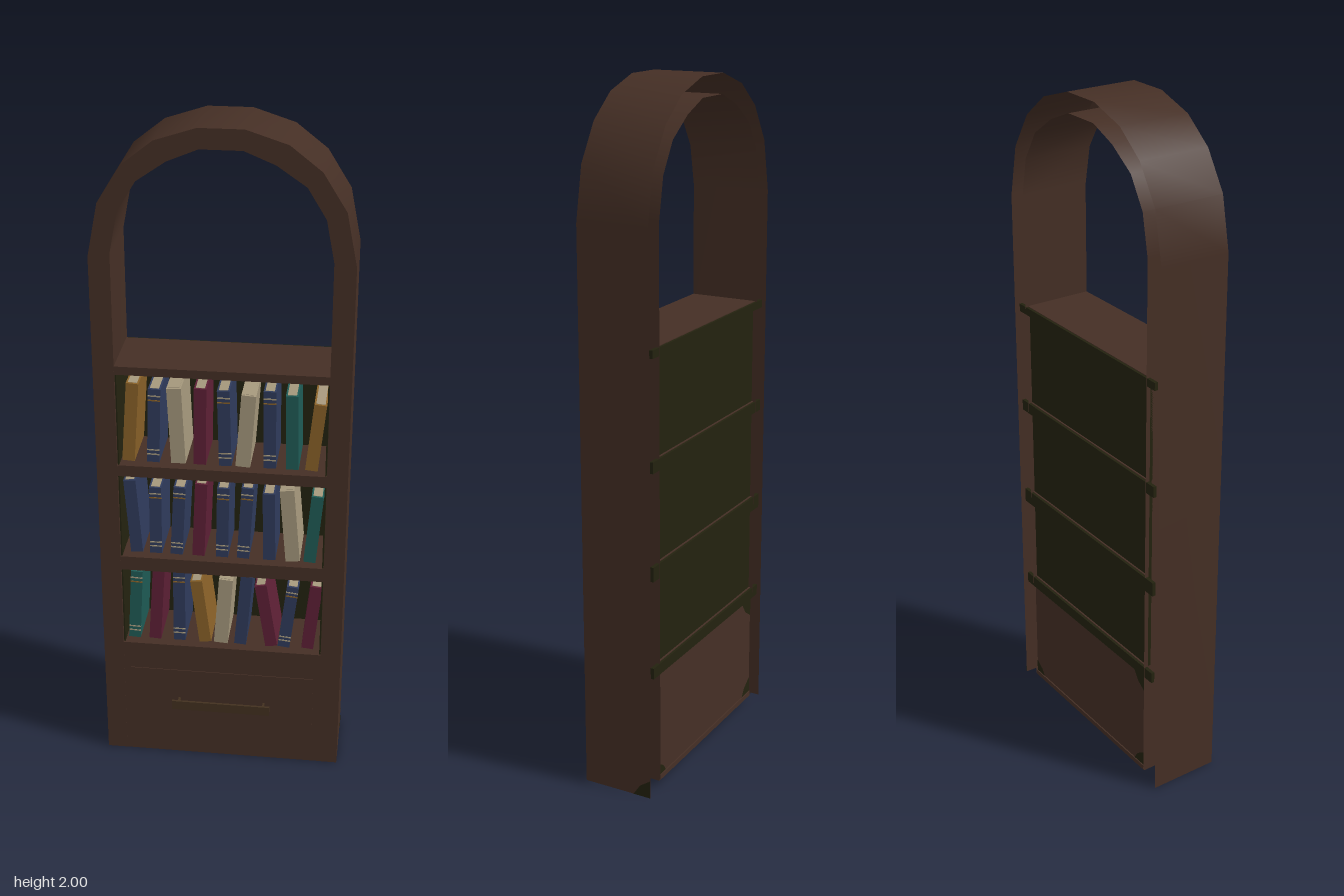
import * as THREE from 'three';

const mat = (name, hex, double) => {
  const m = new THREE.MeshStandardMaterial({ color: hex });
  m.name = name;
  if (double) m.side = THREE.DoubleSide;
  return m;
};

export function createModel() {
  const wood = mat('dark wood', 0x452f25, true);
  const olive = mat('dark olive', 0x23220f, true);
  const bronze = mat('bronze', 0x43311f);
  const blue = mat('blue cloth', 0x2f3b5c);
  const wine = mat('wine cloth', 0x5e2036);
  const teal = mat('teal cloth', 0x1f5c56);
  const gold = mat('gold cloth', 0x8a6228);
  const cream = mat('cream', 0xa5987c);

  const group = new THREE.Group();
  group.name = 'archedBookcase';
  const BACK = -0.123, FRONT = 0.09;

  const add = (name, geometry, material, parent = group) => {
    const mesh = new THREE.Mesh(geometry, material);
    mesh.name = name;
    parent.add(mesh);
    return mesh;
  };
  // Box given by its limits on each axis
  const box = (name, material, x0, x1, y0, y1, z0, z1, parent) => {
    const m = add(name, new THREE.BoxGeometry(x1 - x0, y1 - y0, z1 - z0), material, parent);
    m.position.set((x0 + x1) / 2, (y0 + y1) / 2, (z0 + z1) / 2);
    return m;
  };

  // Arched frame: front ring with an outer and an inner shell, hollow at the back
  const mirror = (half) => [...half, ...half.slice().reverse().map(([x, y]) => [-x, y])];
  const outer = mirror([[0.36, 0], [0.36, 1.64], [0.33, 1.79], [0.264, 1.895], [0.177, 1.963], [0.062, 2]]);
  const inner = mirror([[0.3, 0], [0.3, 1.65], [0.277, 1.768], [0.225, 1.853], [0.143, 1.909], [0.058, 1.944]]);
  const shell = (points, bottom, flip) => {
    const pos = [], index = [];
    points.forEach(([x, y], i) => {
      const h = Math.max(y, bottom);
      pos.push(x, h, FRONT, x, h, BACK);
      if (!i) return;
      const a = 2 * i - 2, b = a + 1, c = a + 2, d = a + 3;
      index.push(...(flip ? [a, c, b, b, c, d] : [a, b, c, b, d, c]));
    });
    const g = new THREE.BufferGeometry();
    g.setAttribute('position', new THREE.Float32BufferAttribute(pos, 3));
    g.setIndex(index);
    g.computeVertexNormals();
    return g;
  };
  const ring = new THREE.Shape([...outer, ...inner.slice().reverse()].map(([x, y]) => new THREE.Vector2(x, y)));
  add('frameFront', new THREE.ShapeGeometry(ring), wood).position.z = FRONT;
  add('frameOuterShell', shell(outer, 0, false), wood);
  add('frameInnerShell', shell(inner, 0.03, true), wood);

  // Shelves with dark back edges reaching into the hollow posts
  const shelves = [[0.365, 0.4], [0.66, 0.705], [0.975, 1.01], [1.295, 1.32]];
  for (const [y0, y1] of shelves) {
    box('shelf', wood, -0.3, 0.3, y0, y1, -0.115, FRONT - 0.0005);
    box('shelfBackEdge', olive, -0.335, 0.335, y0, y1 - 0.002, -0.122, -0.112);
  }
  box('shelfBackPanel', olive, -0.3, 0.3, 0.4, 1.295, -0.11, -0.1);
  for (const s of [-1, 1]) {
    const x = s * 0.297;
    box('shelfLining', olive, x - 0.002, x + 0.002, 0.4, 1.295, -0.1, FRONT - 0.004);
  }

  // Base cupboard
  box('basePanel', wood, -0.3, 0.3, 0, 0.385, 0.08, FRONT - 0.0005);
  box('baseBackPanel', wood, -0.3, 0.3, 0.03, 0.37, -0.116, -0.108);
  box('baseFloor', wood, -0.3, 0.3, 0.025, 0.04, -0.12, 0.08);
  box('drawerFront', wood, -0.28, 0.28, 0.09, 0.31, FRONT - 0.001, 0.092);

  // Drawer handle
  box('handleBar', bronze, -0.15, 0.15, 0.185, 0.215, 0.115, 0.122);
  for (const s of [-1, 1])
    box('handlePost', bronze, s * 0.13 - 0.003, s * 0.13 + 0.003, 0.19, 0.21, 0.09, 0.116);

  // Dark worn corners at the back and on one side
  const corner = (x, y, sx, sy, size) => {
    const shape = new THREE.Shape([[0, 0], [sx * size, 0], [sx * size * 0.6, sy * size * 0.6], [0, sy * size]]
      .map(([a, b]) => new THREE.Vector2(a, b)));
    const m = add('wornCorner', new THREE.ShapeGeometry(shape), olive);
    m.position.set(x, y, -0.117);
    return m;
  };
  corner(0.3, 0.03, -1, 1, 0.05);
  corner(-0.3, 0.03, 1, 1, 0.06);
  corner(-0.3, 0.365, 1, -1, 0.06);
  const sidePatch = corner(0, 0, 1, 1, 0.055);
  sidePatch.rotation.y = -Math.PI / 2;
  sidePatch.position.set(0.361, 0, BACK);

  // Books: [cover, x at the bottom, x at the top, height, banded]
  const rows = [
    [1.01, [
      [gold, -0.272, -0.255, 0.245], [blue, -0.2, -0.193, 0.23, 1], [cream, -0.127, -0.138, 0.235],
      [wine, -0.066, -0.063, 0.238], [blue, 0.008, 0.002, 0.235, 1], [cream, 0.058, 0.074, 0.225],
      [blue, 0.135, 0.133, 0.24, 1], [teal, 0.2, 0.195, 0.23], [gold, 0.254, 0.275, 0.208]]],
    [0.705, [
      [blue, -0.255, -0.272, 0.24], [blue, -0.198, -0.197, 0.22, 1], [blue, -0.137, -0.125, 0.225, 1],
      [wine, -0.072, -0.062, 0.24], [blue, -0.002, 0.002, 0.23, 1], [blue, 0.06, 0.073, 0.235, 1],
      [blue, 0.138, 0.134, 0.22], [cream, 0.207, 0.186, 0.235], [teal, 0.256, 0.275, 0.22]]],
    [0.4, [
      [teal, -0.27, -0.258, 0.235, 1], [wine, -0.207, -0.192, 0.245], [blue, -0.132, -0.131, 0.245, 1],
      [gold, -0.053, -0.08, 0.215], [cream, -0.006, 0.01, 0.225], [blue, 0.053, 0.072, 0.24],
      [wine, 0.148, 0.113, 0.215], [blue, 0.185, 0.21, 0.215, 1], [wine, 0.257, 0.28, 0.22]]],
  ];
  for (const [floor, books] of rows) {
    for (const [cover, xb, xt, h, banded] of books) {
      const book = new THREE.Group();
      book.name = 'book';
      book.position.set(xb, floor + 0.003, 0);
      book.rotation.z = Math.atan2(xb - xt, h);
      const w = cover === cream ? 0.021 : 0.018;
      box('cover', cover, -w, w, 0, h, -0.1, 0.062, book);
      box('pages', cream, -w + 0.005, w - 0.005, h, h + 0.001, -0.095, 0.055, book);
      if (banded) {
        for (const f of [0.1, 0.16, 0.84, 0.9])
          box('spineBand', f > 0.2 && f < 0.88 ? gold : cream, -w, w, h * f, h * f + 0.004, 0.06, 0.063, book);
      }
      group.add(book);
    }
  }
  return group;
}
